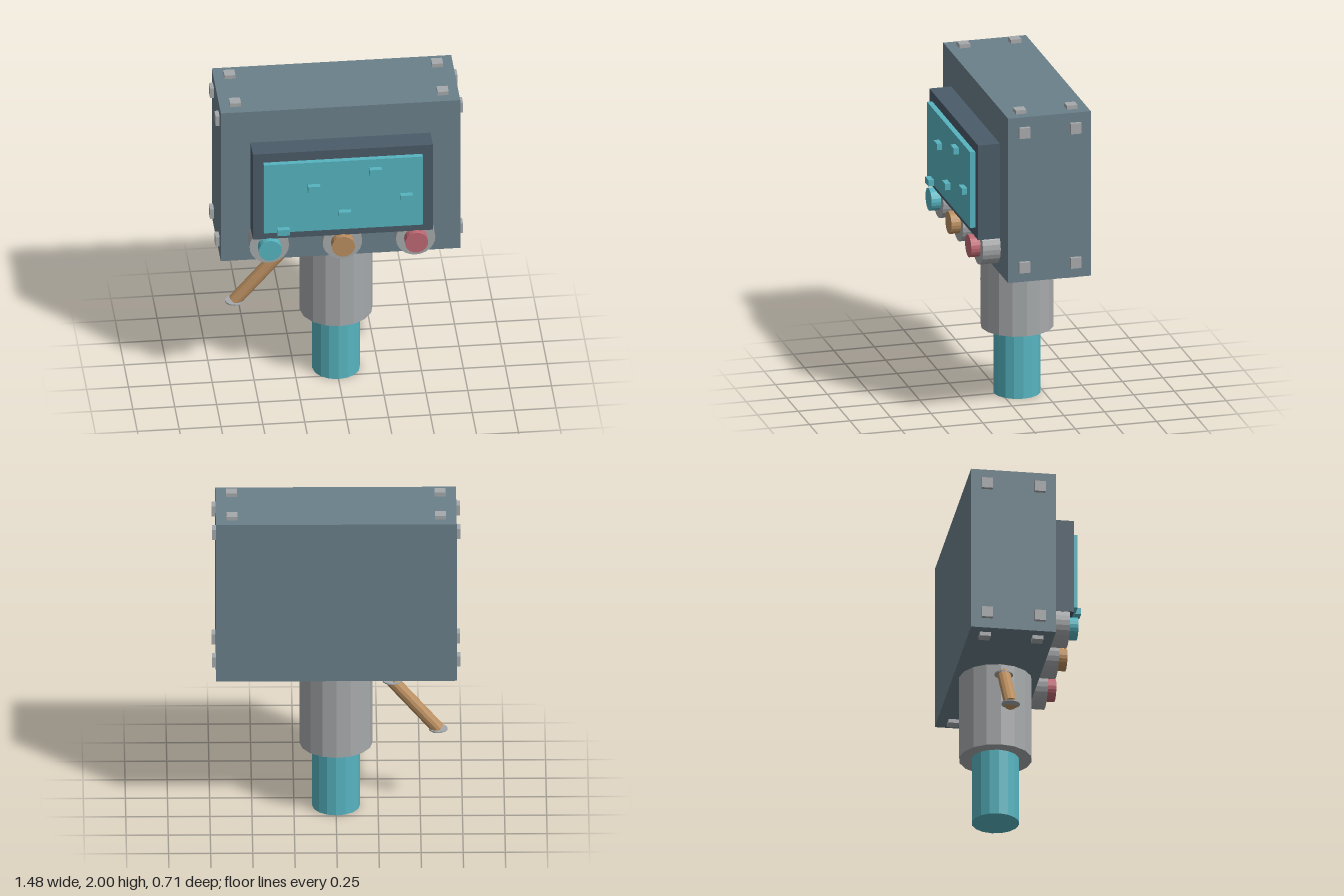
import * as THREE from 'three';

const mat = (name, color, extra = {}) => {
  const m = new THREE.MeshStandardMaterial({ color, ...extra });
  m.name = name;
  return m;
};

export function createModel() {
  const model = new THREE.Group();
  model.name = 'controlPanel';
  const slate = mat('slate', 0x6b808a);
  const dark = mat('darkSlate', 0x4a5b68);
  const cyan = mat('cyan', 0x56b4c0, { flatShading: true });
  const grey = mat('grey', 0xa6a9ab, { flatShading: true });
  const copper = mat('copper', 0xb98e60, { flatShading: true });
  const red = mat('red', 0xbe6872, { flatShading: true });

  const add = (name, geometry, material, x, y, z) => {
    const mesh = new THREE.Mesh(geometry, material);
    mesh.name = name;
    mesh.position.set(x, y, z);
    model.add(mesh);
    return mesh;
  };
  // Box given by its centre in x and its y and z limits
  const box = (name, material, x, w, y0, y1, z0, z1) =>
    add(name, new THREE.BoxGeometry(w, y1 - y0, z1 - z0), material, x, (y0 + y1) / 2, (z0 + z1) / 2);

  // Housing, bezel and screen
  box('housing', slate, 0, 1.43, 0.942, 1.976, -0.355, 0.155);
  box('bezel', dark, 0, 1.075, 1.165, 1.76, 0.14, 0.29);
  box('screen', cyan, 0, 0.95, 1.224, 1.7, 0.27, 0.322);

  // Small raised keys on the screen
  const keys = [[-0.36, 1.24], [-0.177, 1.53], [0.007, 1.34], [0.19, 1.625], [0.374, 1.433]];
  for (const [x, y] of keys) box('screenKey', cyan, x, 0.073, y - 0.02, y + 0.02, 0.315, 0.355);

  // Three knobs on round bases
  const baseGeo = new THREE.CylinderGeometry(0.118, 0.118, 0.13, 24).rotateX(Math.PI / 2);
  const knobGeo = new THREE.CylinderGeometry(0.069, 0.069, 0.08, 20).rotateX(Math.PI / 2);
  [[-0.437, cyan], [0, copper], [0.437, red]].forEach(([x, material]) => {
    add('knobBase', baseGeo, grey, x, 1.1, 0.2);
    add('knob', knobGeo, material, x, 1.1, 0.283);
  });

  // Square bolts near the corners of the sides, top and bottom
  const sideBolt = new THREE.BoxGeometry(0.04, 0.066, 0.066);
  const flatBolt = new THREE.BoxGeometry(0.066, 0.04, 0.066);
  for (const s of [-1, 1]) {
    for (const z of [0.057, -0.259]) {
      for (const y of [1.037, 1.882]) add('sideBolt', sideBolt, grey, s * 0.719, y, z);
      add('topBolt', flatBolt, grey, s * 0.62, 1.98, z);
      add('bottomBolt', flatBolt, grey, s * 0.62, 0.938, z);
    }
  }

  // Stepped post
  add('postSleeve', new THREE.CylinderGeometry(0.218, 0.218, 0.54, 16), grey, 0, 0.687, -0.1);
  add('postFoot', new THREE.CylinderGeometry(0.142, 0.142, 0.45, 16), cyan, 0, 0.225, -0.1);

  // Slanted lever with a thin level disc at each end
  const low = new THREE.Vector3(-0.607, 0.503, -0.1);
  const high = new THREE.Vector3(-0.333, 0.821, -0.1);
  const along = high.clone().sub(low);
  const mid = low.clone().add(high).multiplyScalar(0.5);
  const lever = add('lever', new THREE.CylinderGeometry(0.04, 0.04, along.length(), 12), copper, mid.x, mid.y, mid.z);
  lever.quaternion.setFromUnitVectors(new THREE.Vector3(0, 1, 0), along.normalize());
  const disc = new THREE.CylinderGeometry(0.056, 0.056, 0.008, 16);
  for (const p of [low, high]) add('leverDisc', disc, grey, p.x, p.y, p.z);

  return model;
}
